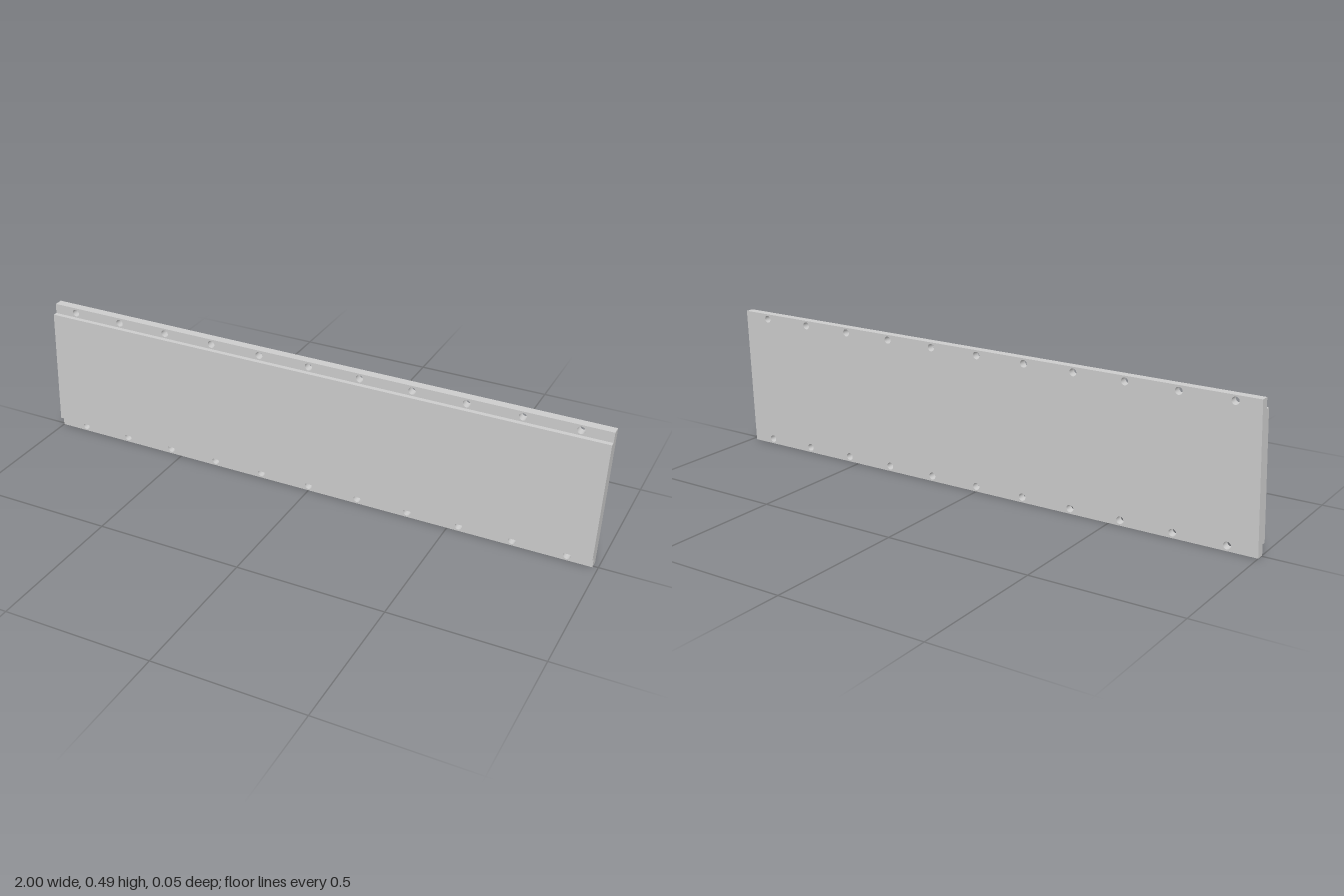
import * as THREE from 'three';

const HEIGHT = 0.486, SHEAR = 0.017;
const BACK = -0.0228, STEP = 0.007, FRONT = 0.0228;

// Slanted panel between two heights; both ends lean by the same amount
function slab(y0, y1) {
  const lean = (y) => (SHEAR * y) / HEIGHT;
  const shape = new THREE.Shape();
  shape.moveTo(-1 + lean(y0), y0);
  shape.lineTo(1 - SHEAR + lean(y0), y0);
  shape.lineTo(1 - SHEAR + lean(y1), y1);
  shape.lineTo(-1 + lean(y1), y1);
  shape.closePath();
  return shape;
}

function extrude(name, shape, z0, z1, material) {
  const geometry = new THREE.ExtrudeGeometry(shape, { depth: z1 - z0, bevelEnabled: false, curveSegments: 24 });
  const mesh = new THREE.Mesh(geometry, material);
  mesh.name = name;
  mesh.position.z = z0;
  return mesh;
}

export function createModel() {
  const group = new THREE.Group();
  group.name = 'panel';
  const material = new THREE.MeshStandardMaterial({ color: 0xcccccc });

  // Base plate with a row of through holes along each long edge
  const base = slab(0, HEIGHT);
  for (const y of [0.018, HEIGHT - 0.018]) {
    for (let i = -5; i <= 5; i++) {
      const hole = new THREE.Path();
      hole.absarc(i * 0.18, y, 0.0125, 0, Math.PI * 2, true);
      base.holes.push(hole);
    }
  }
  group.add(extrude('basePlate', base, BACK, STEP, material));

  // Raised field between the two flanges
  group.add(extrude('raisedField', slab(0.035, HEIGHT - 0.035), STEP, FRONT, material));
  return group;
}
